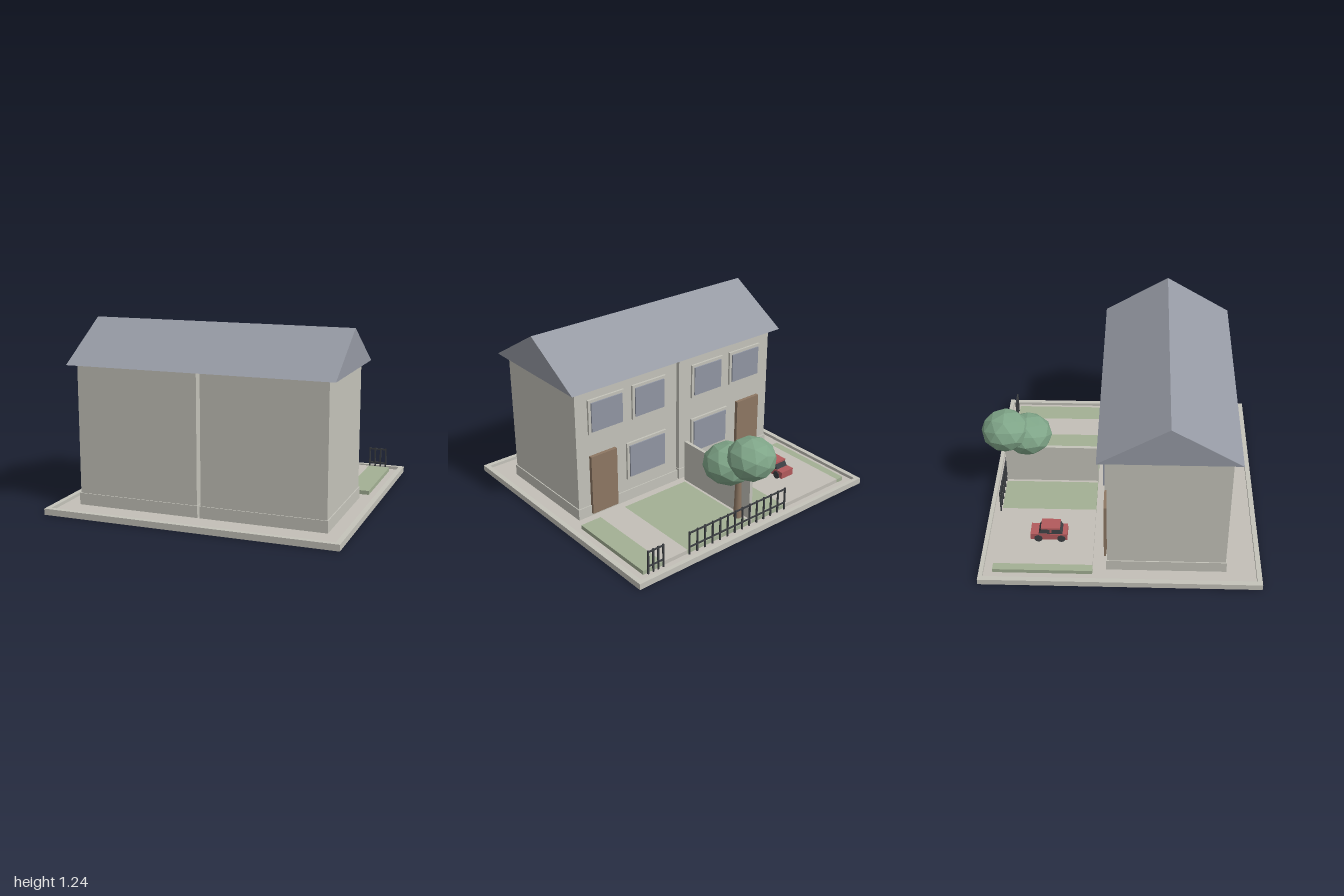
import * as THREE from 'three';

const paint = (name, color, extra = {}) => {
  const m = new THREE.MeshStandardMaterial({ color, ...extra });
  m.name = name;
  return m;
};

export function createModel() {
  const wall = paint('stone', 0xc4c3ba);
  const paving = paint('paving', 0xc3bfb7);
  const slate = paint('slate', 0x969aa4);
  const grass = paint('grass', 0xa3b094);
  const wood = paint('wood', 0x8d7763);
  const glass = paint('glass', 0x9196a3);
  const iron = paint('iron', 0x3c3f43);
  const red = paint('carRed', 0xb25a5c);
  const leaf = paint('leaf', 0x7fa588, { flatShading: true });

  const model = new THREE.Group();
  model.name = 'semiDetachedHouses';
  const add = (name, geo, mat, parent = model) => {
    const mesh = new THREE.Mesh(geo, mat);
    mesh.name = name;
    parent.add(mesh);
    return mesh;
  };
  // box given by its limits on each axis
  const block = (name, mat, x0, x1, y0, y1, z0, z1, parent = model) => {
    const mesh = add(name, new THREE.BoxGeometry(x1 - x0, y1 - y0, z1 - z0), mat, parent);
    mesh.position.set((x0 + x1) / 2, (y0 + y1) / 2, (z0 + z1) / 2);
    return mesh;
  };
  const group = (name) => {
    const g = new THREE.Group();
    g.name = name;
    model.add(g);
    return g;
  };

  // plot: raised kerb around a sunken paved floor
  const rect = (C, x0, x1, y0, y1) => {
    const s = new C();
    s.moveTo(x0, y0).lineTo(x1, y0).lineTo(x1, y1).lineTo(x0, y1).closePath();
    return s;
  };
  const kerb = rect(THREE.Shape, -1, 1, -0.972, 0.907);
  kerb.holes.push(rect(THREE.Path, -0.965, 0.965, -0.938, 0.878));
  const kerbGeo = new THREE.ExtrudeGeometry(kerb, { depth: 0.042, bevelEnabled: false });
  kerbGeo.rotateX(-Math.PI / 2);
  add('kerb', kerbGeo, wall);
  block('pavedFloor', paving, -0.965, 0.965, 0, 0.02, -0.878, 0.938);

  // garden beds, drive and path, side by side
  const strips = [
    ['sideLawn', grass, -0.907, -0.85], ['drive', paving, -0.85, -0.308],
    ['lawn', grass, -0.308, -0.013], ['dividerBase', paving, -0.013, 0.013],
    ['lawn', grass, 0.013, 0.547], ['path', paving, 0.547, 0.75],
    ['sideLawn', grass, 0.75, 0.907],
  ];
  for (const [name, mat, x0, x1] of strips) block(name, mat, x0, x1, 0.02, 0.048, -0.818, -0.152);
  block('gardenWall', wall, -0.012, 0.012, 0.063, 0.368, -0.815, -0.147);

  // two mirrored houses with a narrow gap between them
  for (const side of [-1, 1]) {
    const house = group(side < 0 ? 'rightHouse' : 'leftHouse');
    const part = (name, mat, x0, x1, ...rest) =>
      block(name, mat, Math.min(side * x0, side * x1), Math.max(side * x0, side * x1), ...rest, house);
    part('walls', wall, 0.013, 0.855, 0.02, 0.975, -0.055, 0.733);
    part('plinth', wall, 0.008, 0.862, 0.02, 0.1, -0.062, 0.74);
    part('door', wood, 0.547, 0.757, 0.04, 0.475, -0.08, -0.055);
    const windows = [[0.47, 0.76, 0.635, 0.885], [0.118, 0.402, 0.635, 0.885], [0.115, 0.455, 0.19, 0.468]];
    for (const [x0, x1, y0, y1] of windows) {
      part('windowFrame', wall, x0, x1, y0, y1, -0.07, -0.055);
      part('windowPane', glass, x0 + 0.02, x1 - 0.02, y0 + 0.02, y1 - 0.02, -0.079, -0.07);
    }
  }

  // shared gable roof
  const gable = new THREE.Shape();
  gable.moveTo(-0.788, 0.973).lineTo(0.115, 0.973).lineTo(-0.336, 1.243).closePath();
  const roofGeo = new THREE.ExtrudeGeometry(gable, { depth: 1.814, bevelEnabled: false });
  roofGeo.rotateY(Math.PI / 2).translate(-0.907, 0, 0);
  add('roof', roofGeo, slate);

  // railings along the street
  for (const [x0, x1, gaps] of [[-0.31, 0.547, 13], [0.75, 0.88, 3]]) {
    const fence = group('railing');
    for (let i = 0; i <= gaps; i++) {
      const x = x0 + 0.005 + ((x1 - x0 - 0.01) * i) / gaps;
      block('bar', iron, x - 0.005, x + 0.005, 0.02, 0.19, -0.835, -0.825, fence);
    }
    for (const y of [0.07, 0.175]) block('rail', iron, x0, x1, y, y + 0.01, -0.834, -0.826, fence);
  }

  // tree with two leafy crowns
  const tree = group('tree');
  add('trunk', new THREE.CylinderGeometry(0.018, 0.028, 0.38, 8), wood, tree).position.set(0.035, 0.238, -0.728);
  const crowns = [[0, 0.513, -0.802, 0.17, 0.146], [0.06, 0.437, -0.655, 0.175, 0.142]];
  for (const [x, y, z, r, h] of crowns) {
    const crown = add('crown', new THREE.IcosahedronGeometry(1, 1), leaf, tree);
    crown.position.set(x, y, z);
    crown.scale.set(r, h, r);
  }

  // small car parked on the drive
  const car = group('car');
  block('carBody', red, -0.055, 0.055, 0.065, 0.115, -0.125, 0.125, car);
  const cabinGeo = new THREE.BoxGeometry(0.102, 0.042, 0.165);
  const p = cabinGeo.attributes.position;
  for (let i = 0; i < p.count; i++) {
    if (p.getY(i) > 0) p.setXYZ(i, p.getX(i) * 0.88, p.getY(i), p.getZ(i) * 0.74);
  }
  cabinGeo.computeVertexNormals();
  add('cabinWindows', cabinGeo, iron, car).position.set(0, 0.134, 0.012);
  block('cabinRoof', red, -0.048, 0.048, 0.15, 0.163, -0.053, 0.077, car);
  for (const x of [-0.045, 0.045]) {
    block('cabinPillar', red, x - 0.005, x + 0.005, 0.115, 0.155, 0.005, 0.018, car);
    for (const z of [-0.072, 0.085]) {
      const wheel = add('wheel', new THREE.CylinderGeometry(0.028, 0.028, 0.03, 12), iron, car);
      wheel.rotation.z = Math.PI / 2;
      wheel.position.set(x, 0.077, z);
    }
  }
  car.position.set(-0.58, 0, -0.46);

  return model;
}
